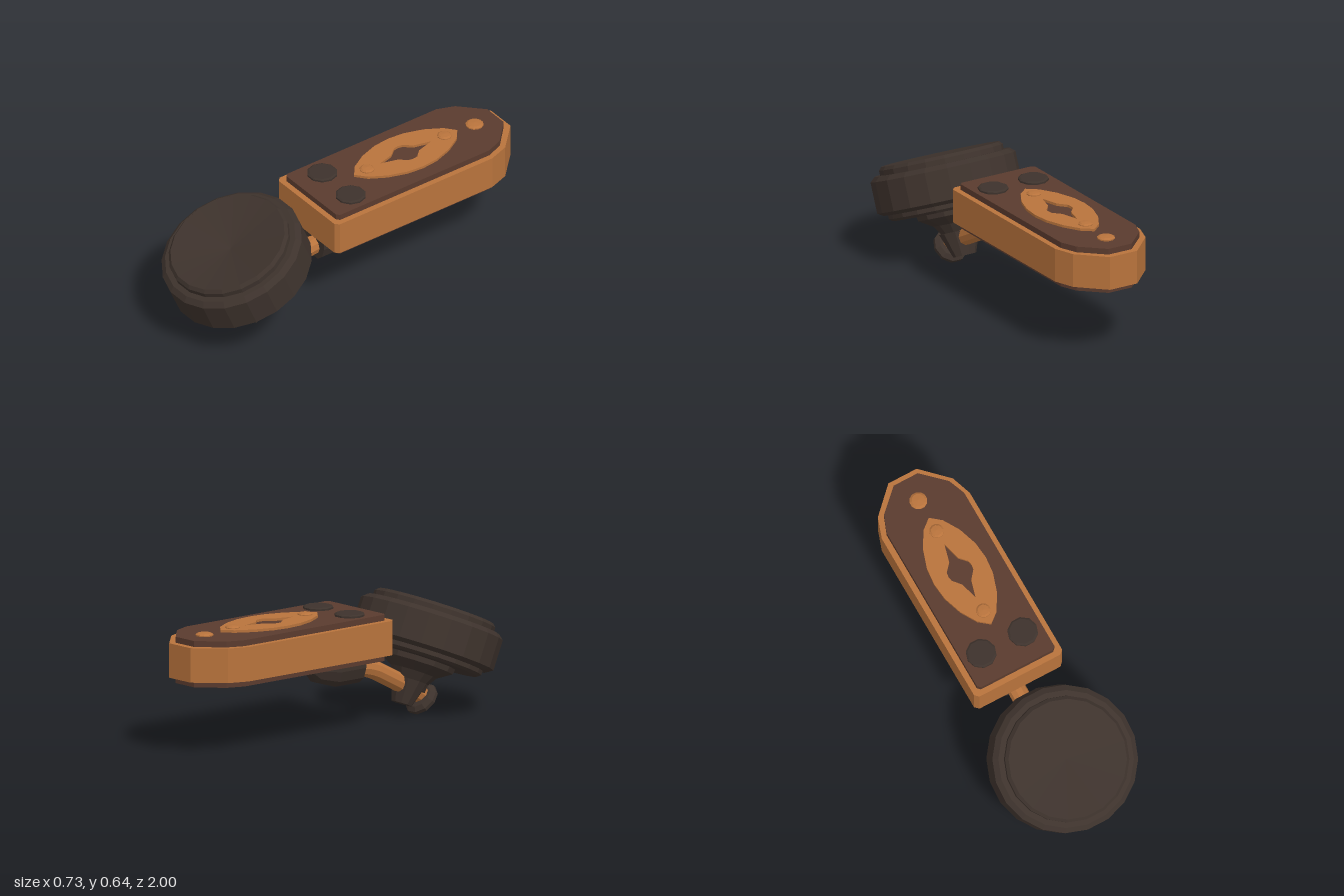
import * as THREE from 'three';
import { ConvexGeometry } from 'three/addons/geometries/ConvexGeometry.js';

const material = (name, color) => {
  const m = new THREE.MeshStandardMaterial({ color, flatShading: true, side: THREE.DoubleSide });
  m.name = name;
  return m;
};

export function createModel() {
  const root = new THREE.Group();
  root.name = 'doorHandle';
  const copper = material('copper', 0xb8733c);
  const brown = material('brown', 0x5a3b2e);
  const dark = material('darkIron', 0x3d322c);

  const add = (name, geometry, mat, parent = root) => {
    const mesh = new THREE.Mesh(geometry, mat);
    mesh.name = name;
    parent.add(mesh);
    return mesh;
  };

  // Plates are drawn as half outlines in (x, z), mirrored, then raised from y0 to y1
  const mirrored = half => [
    ...half,
    ...half.filter(p => p[0] > 0).map(([x, z]) => [-x, z]).reverse(),
  ].map(([x, z]) => new THREE.Vector2(x, -z));
  const plate = (half, y0, y1, hole) => {
    const shape = new THREE.Shape(mirrored(half));
    if (hole) shape.holes.push(new THREE.Path(mirrored(hole)));
    return new THREE.ExtrudeGeometry(shape, { depth: y1 - y0, bevelEnabled: false })
      .rotateX(-Math.PI / 2).translate(0, y0, 0);
  };
  const lathe = (points, sides) => new THREE.LatheGeometry(
    points.map(([r, y]) => new THREE.Vector2(r, y)), sides, Math.PI / sides);

  // Lock case with a dark plate above and below
  const caseOutline = [[0.23, 0.205], [0.25, 0.185], [0.25, -0.76], [0.213, -0.868], [0.08, -1]];
  const coverOutline = [[0.205, 0.175], [0.22, 0.16], [0.22, -0.765], [0.185, -0.855], [0.068, -0.967]];
  add('lockCase', plate(caseOutline, 0.39, 0.565), copper);
  add('topCover', plate(coverOutline, 0.56, 0.595), brown);
  add('bottomCover', plate(coverOutline, 0.36, 0.395), brown);

  // Lens-shaped escutcheon with a keyhole
  add('escutcheon', plate(
    [[0, -0.09], [0.055, -0.135], [0.105, -0.22], [0.138, -0.32], [0.147, -0.41],
      [0.138, -0.5], [0.105, -0.6], [0.055, -0.685], [0, -0.73]],
    0.59, 0.608,
    [[0, -0.25], [0.025, -0.34], [0.062, -0.385], [0.066, -0.41], [0.062, -0.435],
      [0.025, -0.475], [0, -0.57]]), copper);

  // Rivets and screw buttons
  const stud = (name, r, h, x, y, z, mat) => {
    const g = lathe([[r, 0], [r, h * 0.5], [r * 0.75, h * 0.85], [0, h]], 12);
    add(name, g, mat).position.set(x, y, z);
  };
  stud('rivet', 0.037, 0.018, 0, 0.603, -0.65, copper);
  stud('rivet', 0.037, 0.018, 0, 0.603, -0.17, copper);
  stud('rivet', 0.045, 0.018, 0, 0.592, -0.837, copper);
  for (const side of [-1, 1]) {
    add('button', lathe([[0.077, 0], [0.077, 0.012], [0.067, 0.017], [0, 0.017]], 10), dark)
      .position.set(side * 0.118, 0.592, 0.02);
  }

  // Rod socket under the case
  const socketPoints = [];
  for (const [z, w, bottom] of [[0.16, 0.085, 0.222], [0, 0.085, 0.222], [-0.11, 0.068, 0.255], [-0.172, 0.03, 0.325]]) {
    for (const s of [-1, 1]) {
      socketPoints.push(
        new THREE.Vector3(s * w, 0.37, z),
        new THREE.Vector3(s * w, bottom * 0.45 + 0.37 * 0.55, z),
        new THREE.Vector3(s * w * 0.8, bottom * 0.8 + 0.37 * 0.2, z),
        new THREE.Vector3(s * w * 0.4, bottom, z));
    }
  }
  add('rodSocket', new ConvexGeometry(socketPoints), dark);

  // Bent rod
  const path = new THREE.CatmullRomCurve3(
    [[0.29, 0.1], [0.288, 0.2], [0.265, 0.28], [0.225, 0.36], [0.172, 0.46], [0.09, 0.6]]
      .map(([y, z]) => new THREE.Vector3(0, y, z)));
  add('rod', new THREE.TubeGeometry(path, 14, 0.048, 10), copper);

  // Tilted knob, with its neck
  const knob = new THREE.Group();
  knob.name = 'knob';
  knob.position.set(0, 0.53, 0.695);
  knob.rotation.x = 0.407;
  root.add(knob);
  add('knobBody', lathe([
    [0, -0.275], [0.302, -0.275], [0.318, -0.262], [0.318, -0.24], [0.342, -0.24],
    [0.369, -0.222], [0.369, -0.065], [0.343, -0.042], [0.315, -0.042], [0.315, -0.016],
    [0.3, 0], [0, -0.05]], 20), dark, knob);
  add('neck', lathe([
    [0, -0.44], [0.085, -0.43], [0.09, -0.39], [0.12, -0.345], [0.19, -0.302], [0.195, -0.275]], 12),
  dark, knob).position.z = -0.012;
  const collar = new THREE.CylinderGeometry(0.085, 0.048, 0.125, 10);
  add('neckCollar', collar.scale(1.3, 1, 0.95), dark, knob).position.set(0, -0.453, -0.025);

  // Dished cap on the end of the rod
  const cap = add('rodCap', lathe([
    [0, -0.045], [0.04, -0.038], [0.068, -0.035], [0.09, -0.018], [0.09, 0], [0.072, 0.004], [0, -0.02]], 10), dark);
  cap.position.set(0, 0.065, 0.607);
  cap.rotation.x = Math.PI * 0.75;

  return root;
}
